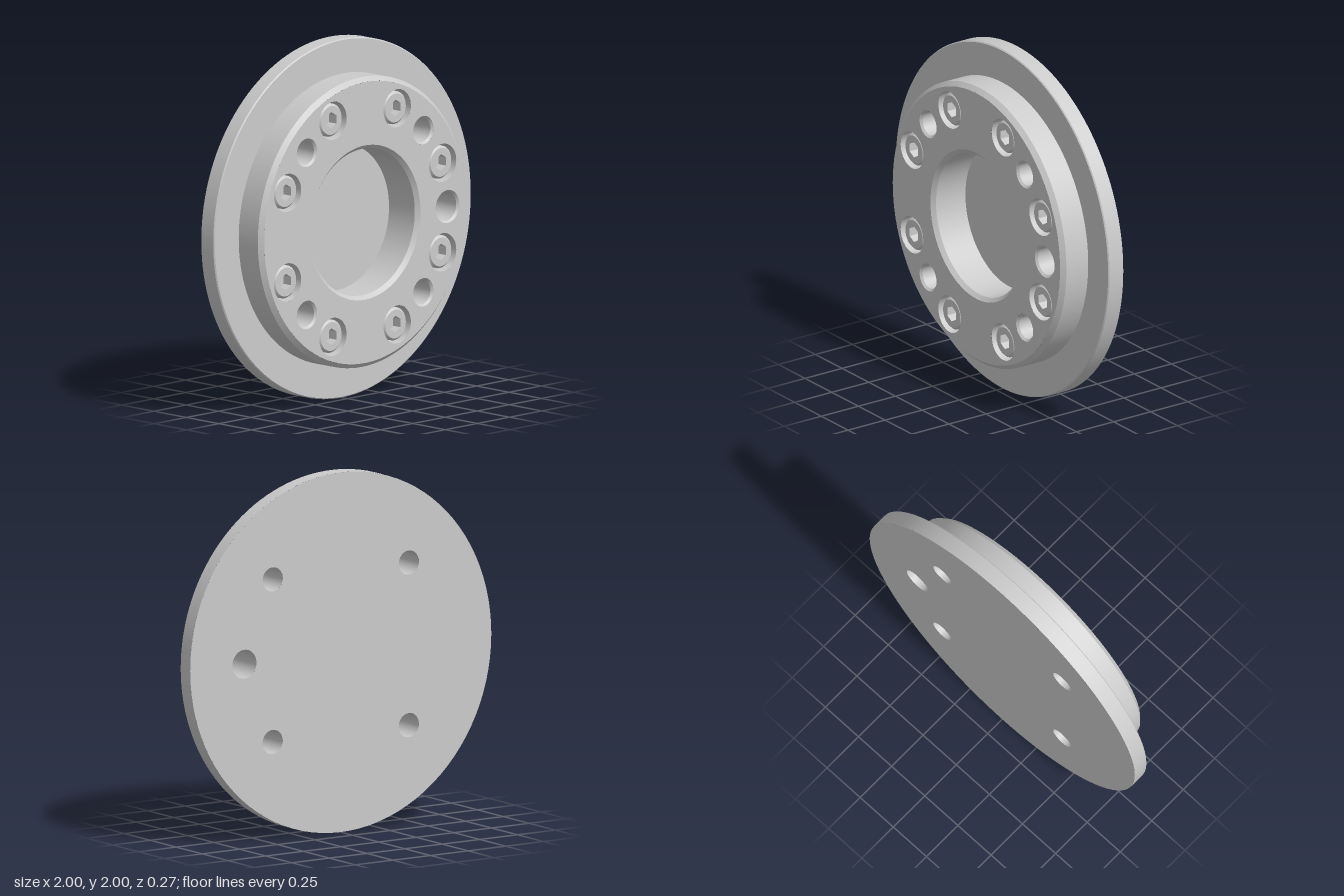
import * as THREE from 'three';
import { mergeGeometries } from 'three/addons/utils/BufferGeometryUtils.js';

const BACK = -0.135, STEP = -0.037, FRONT = 0.135, FLOOR = -0.085;
const material = new THREE.MeshStandardMaterial({ color: 0xcccccc });

// Turned surface about z from [radius, z] points, each band sharp at its ends
function turned(points, segments = 96) {
  const bands = [];
  for (let i = 0; i < points.length - 1; i++) {
    const pair = [points[i], points[i + 1]].map(([r, z]) => new THREE.Vector2(r, z));
    bands.push(new THREE.LatheGeometry(pair, segments).rotateX(Math.PI / 2));
  }
  return mergeGeometries(bands);
}

// Flat disc at height z with round holes [x, y, radius]
function face(radius, z, holes, back = false) {
  const shape = new THREE.Shape().absarc(0, 0, radius, 0, Math.PI * 2);
  for (const [x, y, r] of holes) {
    shape.holes.push(new THREE.Path().absarc(back ? -x : x, y, r, 0, Math.PI * 2, true));
  }
  const g = new THREE.ShapeGeometry(shape, 48);
  if (back) g.rotateY(Math.PI);
  return g.translate(0, 0, z);
}

function add(parent, name, geometry, x = 0, y = 0) {
  const mesh = new THREE.Mesh(geometry, material);
  mesh.name = name;
  mesh.position.set(x, y, 0);
  parent.add(mesh);
  return mesh;
}

// Socket head screw with hexagonal recess
function createScrew() {
  const screw = new THREE.Group();
  const top = 0.122, socketBottom = 0.065, hexR = 0.046;
  add(screw, 'screwHead', turned([[0.092, 0], [0.092, top - 0.012], [0.08, top]], 40));
  const shape = new THREE.Shape().absarc(0, 0, 0.08, 0, Math.PI * 2);
  const corners = [];
  for (let i = 0; i < 6; i++) {
    const a = Math.PI / 2 - i * Math.PI / 3;
    corners.push(new THREE.Vector2(hexR * Math.cos(a), hexR * Math.sin(a)));
  }
  shape.holes.push(new THREE.Path(corners));
  add(screw, 'screwTop', new THREE.ShapeGeometry(shape, 20).translate(0, 0, top));

  // Recess walls face the screw axis
  const walls = [];
  corners.forEach((c, i) => {
    const n = corners[(i + 1) % 6];
    const wall = new THREE.PlaneGeometry(hexR, top - socketBottom);
    const mid = c.clone().add(n).multiplyScalar(0.5);
    wall.rotateX(Math.PI / 2).rotateZ(Math.atan2(mid.y, mid.x) - Math.PI / 2);
    walls.push(wall.translate(mid.x, mid.y, (top + socketBottom) / 2));
  });
  add(screw, 'socketWalls', mergeGeometries(walls));
  add(screw, 'socketFloor',
    new THREE.ShapeGeometry(new THREE.Shape([...corners].reverse())).translate(0, 0, socketBottom));
  return screw;
}

export function createModel() {
  const model = new THREE.Group();
  model.name = 'flange';
  const body = new THREE.Group();
  body.name = 'flangeBody';
  body.position.y = 1;
  model.add(body);

  // Through holes: four on the diagonals and one larger on the left
  const through = [[0.64, 0, 0.08]];
  for (const sx of [-1, 1]) for (const sy of [-1, 1]) through.push([sx * 0.452, sy * 0.452, 0.067]);

  // Eight counterbored screw positions
  const boreR = 0.106;
  const screws = [];
  for (let i = 0; i < 8; i++) {
    const a = (i + 0.5) * Math.PI / 4;
    screws.push([0.652 * Math.cos(a), 0.652 * Math.sin(a), boreR]);
  }

  // Plate rim, step, hub wall, chamfers and blind central bore
  add(body, 'plateRim', turned([[1, BACK], [1, STEP - 0.006], [0.994, STEP], [0.808, STEP]], 128));
  add(body, 'hubWall', turned([[0.808, STEP], [0.808, FRONT - 0.025], [0.783, FRONT]], 128));
  add(body, 'centralBore', turned([[0.43, FRONT], [0.408, FRONT - 0.022], [0.408, FLOOR]]));
  add(body, 'boreFloor', new THREE.CircleGeometry(0.408, 96).translate(0, 0, FLOOR));

  // Flat faces
  const chamfer = 0.012;
  const mouths = through.map(([x, y, r]) => [x, y, r + chamfer]);
  add(body, 'hubFace', face(0.783, FRONT, [[0, 0, 0.43], ...mouths, ...screws]));
  add(body, 'backFace', face(1, BACK, through, true));

  // Hole walls, chamfered at the front
  for (const [x, y, r] of through) {
    add(body, 'throughHole', turned([[r + chamfer, FRONT], [r, FRONT - chamfer], [r, BACK]], 48), x, y);
  }

  // Counterbores with their screws
  for (const [x, y] of screws) {
    add(body, 'counterbore', turned([[boreR, FRONT], [boreR, 0.02], [0.09, 0.02]], 48), x, y);
    const screw = createScrew();
    screw.name = 'socketScrew';
    screw.position.set(x, y, 0);
    body.add(screw);
  }
  return model;
}
